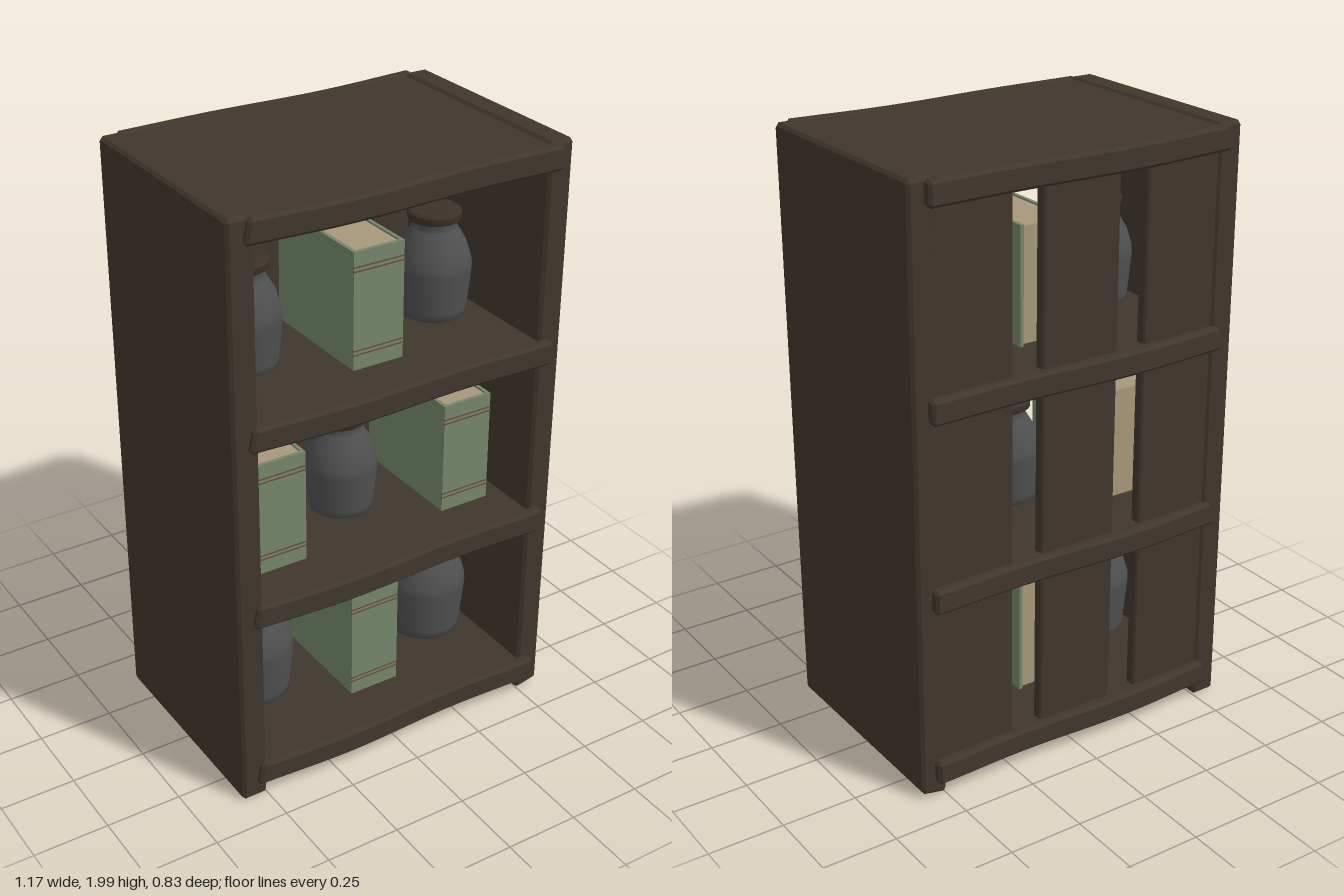
import * as THREE from 'three';

const mat = (name, color, side = THREE.FrontSide) => {
  const m = new THREE.MeshStandardMaterial({ color, side });
  m.name = name;
  return m;
};

export function createModel() {
  const wood = mat('darkWood', 0x40372e);
  const clay = mat('greyClay', 0x505051, THREE.DoubleSide);
  const lidWood = mat('lidWood', 0x3d322a);
  const cover = mat('greenCover', 0x74866a);
  const paper = mat('paper', 0xa8977a);
  const rust = mat('rustBand', 0x6b4a38);

  const root = new THREE.Group();
  root.name = 'stockedShelf';

  const add = (parent, name, geo, material, x = 0, y = 0, z = 0) => {
    const mesh = new THREE.Mesh(geo, material);
    mesh.name = name;
    mesh.position.set(x, y, z);
    parent.add(mesh);
    return mesh;
  };

  // Chamfered plank running along x; bend moves its vertices by a rule
  const plank = (w, h, d, c, bend) => {
    const a = d / 2 - c, b = h / 2 - c, k = c * 0.5;
    const shape = new THREE.Shape([
      [-a + k, -b], [a - k, -b], [a, -b + k], [a, b - k],
      [a - k, b], [-a + k, b], [-a, b - k], [-a, -b + k],
    ].map(([x, y]) => new THREE.Vector2(x, y)));
    const geo = new THREE.ExtrudeGeometry(shape, {
      depth: w - 2 * c, steps: bend ? 16 : 1,
      bevelEnabled: true, bevelSegments: 1, bevelSize: c, bevelThickness: c,
    });
    geo.translate(0, 0, -w / 2 + c);
    geo.rotateY(Math.PI / 2);
    if (bend) {
      const p = geo.attributes.position, v = new THREE.Vector3();
      for (let i = 0; i < p.count; i++) {
        bend(v.fromBufferAttribute(p, i));
        p.setXYZ(i, v.x, v.y, v.z);
      }
      geo.computeVertexNormals();
    }
    return geo;
  };
  const wave = (x) => -Math.sin((Math.PI * x) / 0.4);

  // Side panels, the left one leaning slightly
  for (const s of [-1, 1]) {
    const geo = plank(0.086, 1.985, 0.765, 0.01, (v) => {
      if (s > 0) v.x += 0.004 * (v.y > 0 ? 1 : -1);
      if (s > 0 && v.y < 0) v.y += 0.2 * (v.x + 0.043);
    });
    add(root, s < 0 ? 'rightSidePanel' : 'leftSidePanel', geo, wood, s * 0.542, 1.003, 0);
  }

  // Shelf boards with front and back battens
  const levels = [0.1, 0.7, 1.31, 1.95];
  levels.forEach((y, i) => {
    const board = plank(1.01, 0.076, 0.76, 0.004, (v) => {
      v.z += Math.sign(v.z) * 0.007 * wave(v.x);
    });
    add(root, 'shelfBoard', board, wood, 0, y, 0);
    for (const s of [-1, 1]) {
      const batten = plank(1.075, 0.08, 0.04, 0.009, (v) => {
        if (v.x < -0.4) v.x += 0.2 * (v.y + 0.04);
        v.z += s * 0.007 * wave(v.x);
        v.y -= 0.004 * Math.cos(v.x * 3) - 0.003;
      });
      add(root, s > 0 ? 'frontBatten' : 'backBatten', batten, wood, 0, y, s * 0.388);
    }
  });

  // Back slats
  for (const [x0, x1] of [[-0.51, -0.24], [-0.14, 0.135], [0.24, 0.51]]) {
    add(root, 'backSlat', plank(x1 - x0, 1.91, 0.04, 0.006), wood, (x0 + x1) / 2, 1.015, -0.355);
  }

  // Jar: turned body and lid
  const turned = (pts) => new THREE.LatheGeometry(pts.map(([r, y]) => new THREE.Vector2(r, y)), 20);
  const jarGeo = turned([
    [0, 0], [0.1, 0], [0.122, 0.012], [0.126, 0.04], [0.14, 0.19], [0.138, 0.22],
    [0.118, 0.285], [0.085, 0.34], [0.08, 0.35], [0.083, 0.38],
  ]);
  const lidGeo = turned([
    [0, 0.372], [0.09, 0.372], [0.09, 0.372], [0.098, 0.378], [0.098, 0.402],
    [0.098, 0.402], [0.09, 0.41], [0.09, 0.41], [0, 0.41],
  ]);
  const addJar = (x, y, scale) => {
    const jar = new THREE.Group();
    jar.name = 'jar';
    add(jar, 'jarBody', jarGeo, clay);
    add(jar, 'jarLid', lidGeo, lidWood);
    jar.position.set(x, y, 0.03);
    jar.scale.setScalar(scale);
    root.add(jar);
  };

  // Book: spine to the front, two covers, page block and spine bands
  const addBook = (x, y) => {
    const w = 0.178, h = 0.385, d = 0.43, t = 0.012;
    const book = new THREE.Group();
    book.name = 'book';
    add(book, 'bookSpine', new THREE.BoxGeometry(w, h, t), cover, 0, h / 2, d / 2 - t / 2);
    for (const s of [-1, 1]) {
      add(book, 'bookCover', new THREE.BoxGeometry(t, h, d - t), cover, s * (w - t) / 2, h / 2, -t / 2);
    }
    add(book, 'bookPages', new THREE.BoxGeometry(w - 2 * t, h - 0.012, d - t - 0.006), paper, 0, h / 2, -t / 2 + 0.003);
    for (const by of [0.05, 0.064, 0.322, 0.336]) {
      add(book, 'spineBand', new THREE.BoxGeometry(w + 0.002, 0.004, 0.006), rust, 0, by, d / 2 - 0.001);
    }
    book.position.set(x, y, 0.025);
    root.add(book);
  };

  // Stock alternates between jars and books
  [[0.14, 1], [0.74, 0.855], [1.35, 0.87]].forEach(([y, scale], row) => {
    [-0.348, 0, 0.345].forEach((x, col) => {
      if ((row + col) % 2 === 0) addJar(x, y, scale);
      else addBook(x, y);
    });
  });

  return root;
}
